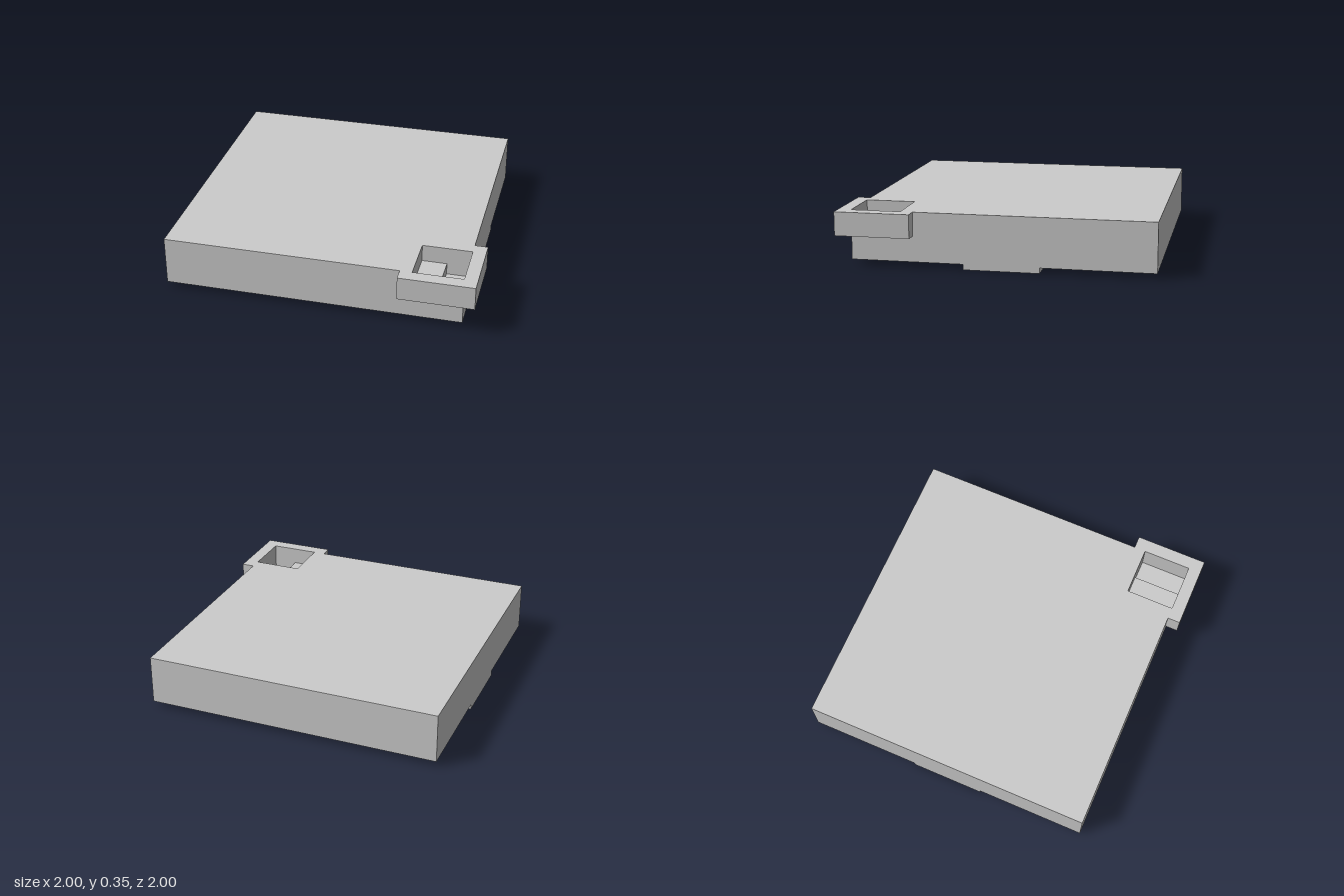
import * as THREE from 'three';

const grey = new THREE.MeshStandardMaterial({ color: 0xcccccc });
grey.name = 'plain grey';

// Corner points in plan; plan y is -z so that the extrusion rises along +y
const plan = (points) => points.map(([x, z]) => new THREE.Vector2(x, -z));
const rect = (x0, x1, z0, z1) => plan([[x0, z1], [x1, z1], [x1, z0], [x0, z0]]);

// Horizontal slab with an outline and rectangular holes
function slab(name, outline, y0, y1, holes = []) {
  const shape = new THREE.Shape(outline);
  shape.holes = holes.map((h) => new THREE.Path(h));
  const geo = new THREE.ExtrudeGeometry(shape, { depth: y1 - y0, bevelEnabled: false });
  geo.rotateX(-Math.PI / 2).translate(0, y0, 0);
  const mesh = new THREE.Mesh(geo, grey);
  mesh.name = name;
  return mesh;
}

export function createModel() {
  const model = new THREE.Group();
  model.name = 'slottedTray';

  const body = rect(-1, 0.917, -1, 0.917);
  // Body outline with the overhanging corner block
  const bodyWithBlock = plan([
    [-1, 0.917], [0.52, 0.917], [0.52, 1], [1, 1], [1, 0.52], [0.917, 0.52], [0.917, -1], [-1, -1],
  ]);

  // Seven parallel slots in the underside, the outer two narrower
  const slots = [];
  for (let i = -3; i <= 3; i++) {
    const half = Math.abs(i) === 3 ? 0.038 : 0.08;
    const z = -0.04 + i * 0.248;
    slots.push(rect(-0.84, 0.79, z - half, z + half));
  }

  // Stepped pocket in the corner block
  const deepPocket = [rect(0.757, 0.916, 0.597, 0.916)];
  const fullPocket = [rect(0.597, 0.916, 0.597, 0.916)];

  model.add(
    slab('slottedBase', body, 0.035, 0.115, slots),
    slab('core', body, 0.115, 0.165),
    slab('lowerPocketLayer', body, 0.165, 0.2, deepPocket),
    slab('cornerBlockLayer', bodyWithBlock, 0.2, 0.24, deepPocket),
    slab('topPlate', bodyWithBlock, 0.24, 0.352, fullPocket),
  );

  // Feet at both ends of the middle slots
  model.add(
    slab('leftFoot', rect(0.68, 0.917, -0.28, 0.2), 0, 0.035),
    slab('rightFoot', rect(-1, -0.76, -0.28, 0.2), 0, 0.035),
  );
  return model;
}
